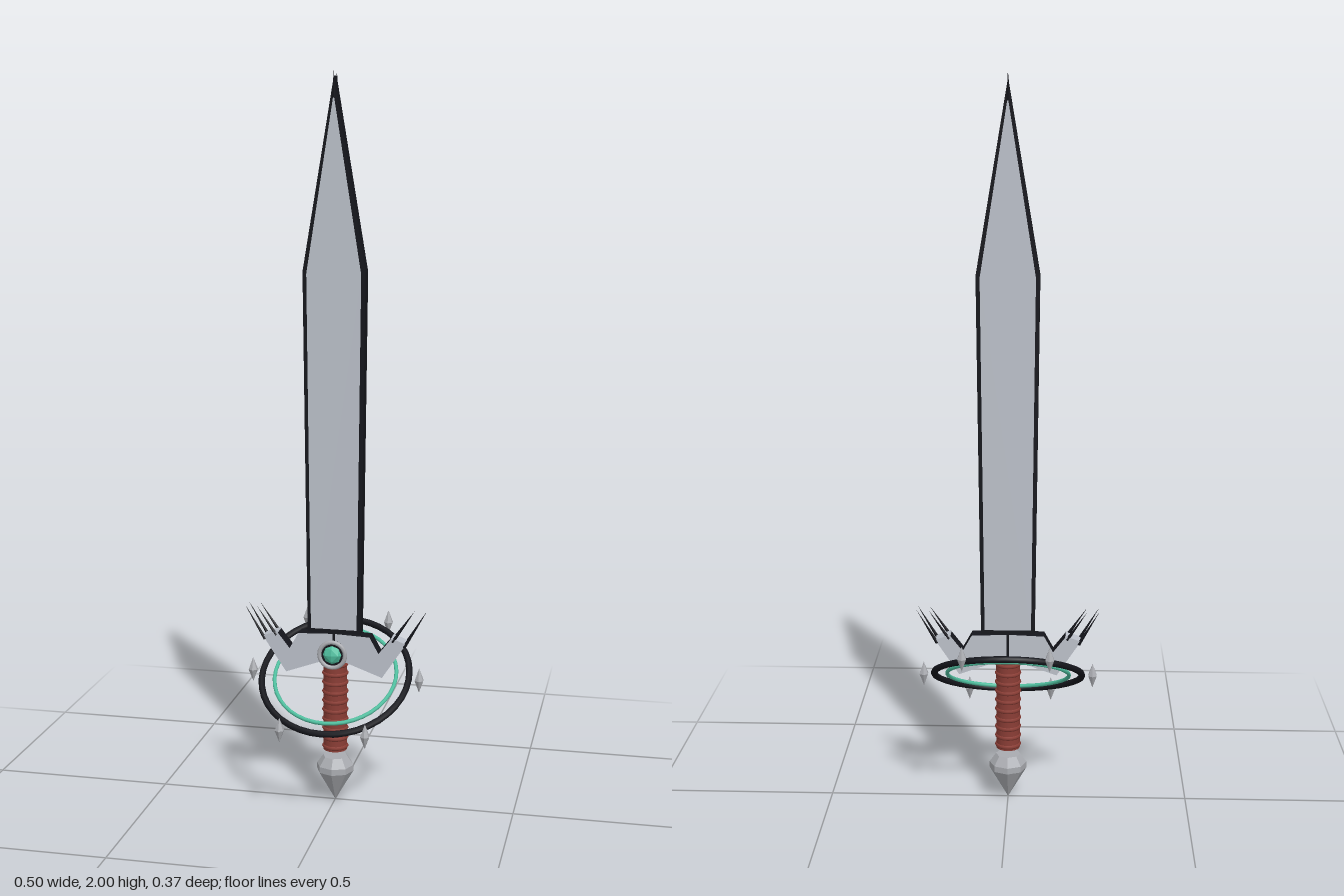
import * as THREE from 'three';

const mat = (color, flatShading = true) => new THREE.MeshStandardMaterial({ color, flatShading });

export function createModel() {
  const steel = mat(0xbcc1ca), dark = mat(0x14151b), grey = mat(0xa9abb0);
  const leather = mat(0x8a3d35, false), teal = mat(0x4fbf9f, false), black = mat(0x14151b, false);
  const root = new THREE.Group();
  root.name = 'sword';

  const add = (name, geometry, material, x = 0, y = 0, z = 0, parent = root) => {
    const mesh = new THREE.Mesh(geometry, material);
    mesh.name = name;
    mesh.position.set(x, y, z);
    parent.add(mesh);
    return mesh;
  };

  // Flat outline extruded evenly about z = 0
  const slab = (points, depth) => {
    const shape = new THREE.Shape(points.map(([x, y]) => new THREE.Vector2(x, y)));
    return new THREE.ExtrudeGeometry(shape, { depth, bevelEnabled: false }).translate(0, 0, -depth / 2);
  };

  // Thin tapering spike between two points
  const spike = (name, a, b, r, material) => {
    const from = new THREE.Vector3(...a), to = new THREE.Vector3(...b);
    const dir = to.clone().sub(from), length = dir.length();
    const mesh = add(name, new THREE.ConeGeometry(r, length, 4), material);
    mesh.position.copy(from).add(to).multiplyScalar(0.5);
    mesh.quaternion.setFromUnitVectors(new THREE.Vector3(0, 1, 0), dir.normalize());
  };

  // Blade: dark core whose rim frames the bevelled steel faces
  const mid = [[-0.074, 0.49], [0.074, 0.49], [0.085, 1.48], [0, 1.985], [-0.085, 1.48]];
  const face = [[-0.064, 0.502], [0.064, 0.502], [0.074, 1.475], [0, 1.94], [-0.074, 1.475]];
  add('bladeCore', slab(mid, 0.036), dark);
  add('bladeFaces', slab(face, 0.043), [steel, dark]);
  for (const z of [-0.02, 0.02]) spike('bladeTip', [0, 1.93, z], [0, 2, z], 0.004, dark);
  add('bladeTang', new THREE.BoxGeometry(0.03, 0.1, 0.034), dark, 0, 0.45, 0);

  // Guard: two mirrored wings with steel faces, dark edges and pronged ends
  const wing = [[0.004, 0.405], [0.03, 0.41], [0.135, 0.372], [0.2, 0.47], [0.16, 0.485],
    [0.125, 0.44], [0.1, 0.485], [0.004, 0.489]];
  for (const s of [1, -1]) {
    const points = wing.map(([x, y]) => [s * x, y]);
    add(s > 0 ? 'leftGuard' : 'rightGuard', slab(points, 0.042), [steel, dark]);
    // Steel cap on the cut end of the wing
    const cap = [[0.198, 0.467], [0.2, 0.472], [0.16, 0.487], [0.158, 0.482]];
    add('guardCap', slab(cap.map(([x, y]) => [s * x, y]), 0.042), steel);
    for (const z of [-0.019, 0.019]) {
      spike('outerProng', [s * 0.195, 0.462, z], [s * 0.252, 0.558, z], 0.005, dark);
      spike('innerProng', [s * 0.163, 0.475, z], [s * 0.218, 0.556, z], 0.005, dark);
    }
  }

  // Gem in a round setting on the front of the guard
  add('gemSetting', new THREE.TorusGeometry(0.036, 0.006, 8, 24), mat(0xa9abb0, false), 0, 0.435, 0.042);
  add('gemBack', new THREE.CylinderGeometry(0.034, 0.034, 0.018, 20).rotateX(Math.PI / 2), dark, 0, 0.435, 0.03);
  const gem = add('gem', new THREE.OctahedronGeometry(0.026, 1), mat(0x4fbf9f), 0, 0.435, 0.042);
  gem.scale.z = 0.55;

  // Grip with wrapped ribs
  add('grip', new THREE.CylinderGeometry(0.033, 0.033, 0.26, 20), leather, 0, 0.28, 0);
  for (let i = 0; i < 10; i++) {
    const rib = add('gripRib', new THREE.TorusGeometry(0.031, 0.006, 6, 20), leather, 0, 0.16 + i * 0.0265, 0);
    rib.rotation.x = Math.PI / 2;
  }

  // Faceted pommel
  const profile = [[0, 0.006], [0.052, 0.088], [0.052, 0.105], [0.034, 0.13], [0, 0.13]];
  profile[0][1] = 0;
  add('pommel', new THREE.LatheGeometry(profile.map(([x, y]) => new THREE.Vector2(x, y)), 8), grey);

  // Tilted rings around the grip
  const tilt = 32 * Math.PI / 180, centreY = 0.365;
  const rings = new THREE.Group();
  rings.name = 'rings';
  rings.position.y = centreY;
  rings.rotation.x = Math.PI / 2 + tilt;
  root.add(rings);
  add('outerRing', new THREE.TorusGeometry(0.206, 0.009, 8, 40), black, 0, 0, 0, rings);
  add('innerRing', new THREE.TorusGeometry(0.17, 0.0055, 8, 40), teal, 0, 0, 0, rings);

  // Six upright bipyramid studs spaced round the outer ring
  const studShape = [[0, -0.035], [0.0135, 0], [0, 0.035]].map(([x, y]) => new THREE.Vector2(x, y));
  for (let i = 0; i < 6; i++) {
    const a = i * Math.PI / 3, d = 0.235 * Math.sin(a);
    add('ringStud', new THREE.LatheGeometry(studShape, 6), grey,
      0.235 * Math.cos(a), centreY - d * Math.sin(tilt), d * Math.cos(tilt));
  }
  return root;
}
